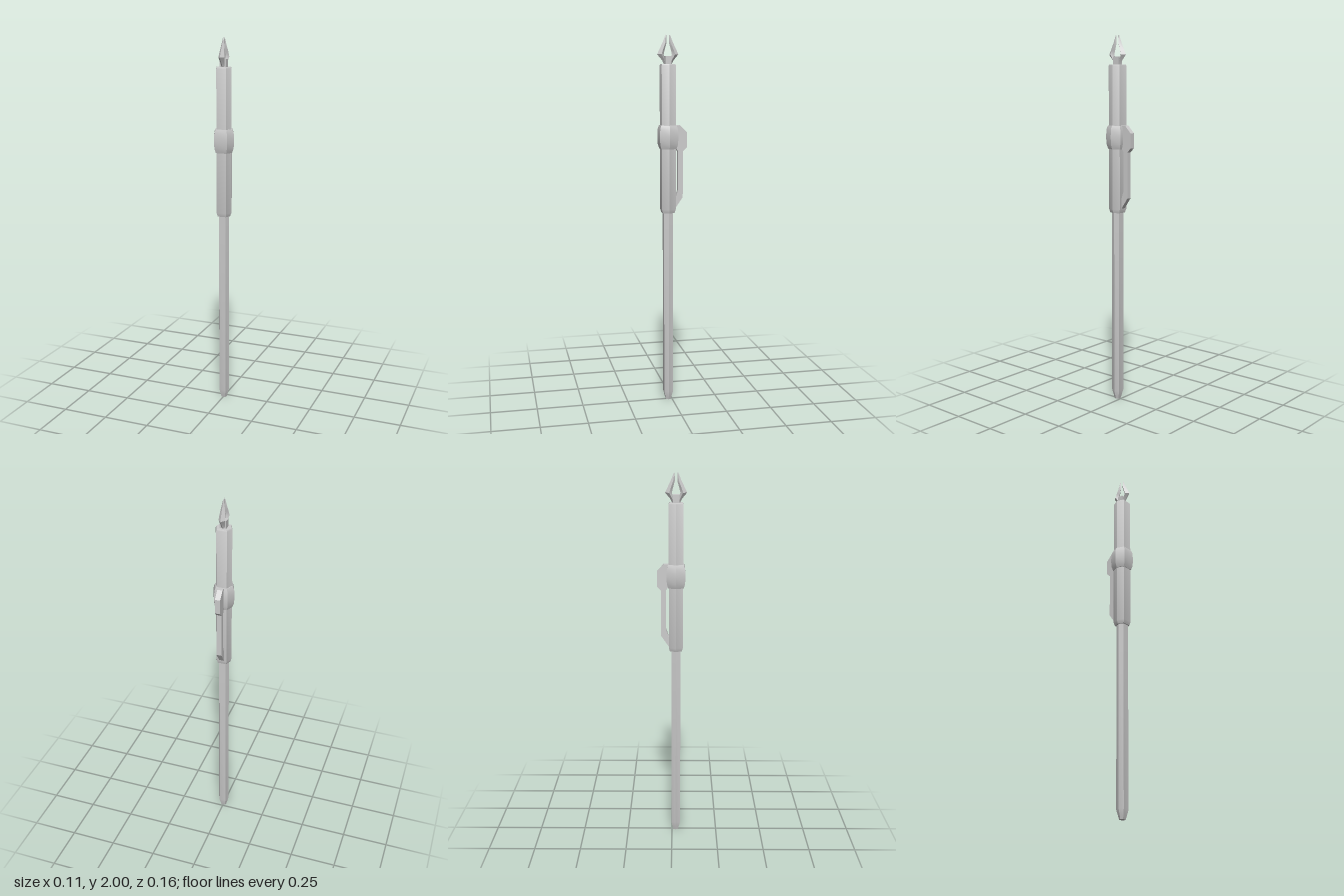
import * as THREE from 'three';
import { toCreasedNormals } from 'three/addons/utils/BufferGeometryUtils.js';

const CZ = 0.021; // the pen axis sits slightly forward because of the clip
const material = new THREE.MeshStandardMaterial({ color: 0xcccccc });

// Closed loft through sections { y, pts: [[x, z], ...] }, points turning from +x to +z.
function loft(sections, crease) {
  const n = sections[0].pts.length;
  const pos = [], idx = [];
  for (const { y, pts } of sections) for (const [x, z] of pts) pos.push(x, y, z);
  for (let s = 0; s < sections.length - 1; s++) {
    for (let i = 0; i < n; i++) {
      const a = s * n + i, b = s * n + (i + 1) % n;
      idx.push(a, a + n, b + n, a, b + n, b);
    }
  }
  const top = (sections.length - 1) * n;
  for (let i = 1; i < n - 1; i++) idx.push(0, i, i + 1, top, top + i + 1, top + i);
  const g = new THREE.BufferGeometry();
  g.setAttribute('position', new THREE.Float32BufferAttribute(pos, 3));
  g.setIndex(idx);
  return toCreasedNormals(g, crease);
}

// Flattened hexagon: points on +-x, flats facing +-z.
function hex(y, rx, rz) {
  const c = rx * 0.64;
  return { y, pts: [[rx, 0], [c, rz], [-c, rz], [-rx, 0], [-c, -rz], [-c, -rz]].map(([x, z], i) => [i === 5 ? c : x, z + CZ]) };
}

export function createModel() {
  const group = new THREE.Group();
  const add = (name, geometry) => {
    const mesh = new THREE.Mesh(geometry, material);
    mesh.name = name;
    group.add(mesh);
  };
  const addHex = (name, rows) => add(name, loft(rows.map((r) => hex(...r)), 0.7));

  // Long lower shaft with a tapered end
  addHex('shaft', [[0, 0.016, 0.013], [0.012, 0.019, 0.016], [0.05, 0.029, 0.025], [1.07, 0.029, 0.025]]);

  // Thicker grip with bevelled ends
  addHex('grip', [[1.06, 0.036, 0.032], [1.08, 0.043, 0.038], [1.843, 0.043, 0.038], [1.85, 0.04, 0.035]]);

  // Collar holding the clip
  addHex('collar', [[1.405, 0.046, 0.041], [1.43, 0.055, 0.048], [1.47, 0.057, 0.05],
    [1.51, 0.055, 0.048], [1.53, 0.047, 0.042]]);

  // Clip: side profile as [distance behind, height]
  const profile = [[0, 1.08], [0.018, 1.085], [0.058, 1.143], [0.058, 1.39], [0.08, 1.412], [0.08, 1.492],
    [0.043, 1.53], [0, 1.53], [0, 1.41], [0.02, 1.41], [0.032, 1.39], [0.032, 1.18], [0.018, 1.14], [0, 1.14]];
  const clip = new THREE.ExtrudeGeometry(new THREE.Shape(profile.map((p) => new THREE.Vector2(...p))),
    { depth: 0.028, bevelEnabled: false });
  clip.translate(0, 0, -0.014).rotateY(Math.PI / 2);
  add('clip', clip);

  // Mount between the prongs
  const mount = new THREE.BoxGeometry(0.034, 0.045, 0.034);
  mount.translate(0, 1.868, CZ);
  add('prongMount', mount);

  // Two diamond-section prongs: height, inner edge, outer edge, half width
  const rows = [[1.85, 0.008, 0.022, 0.009], [1.868, 0.012, 0.03, 0.011], [1.9, 0.022, 0.057, 0.016],
    [1.925, 0.016, 0.045, 0.014], [1.96, 0.006, 0.028, 0.009], [2, 0.008, 0.012, 0.001]];
  for (const [name, turn] of [['frontProng', 0], ['backProng', Math.PI]]) {
    const prong = loft(rows.map(([y, inner, outer, w]) => {
      const mid = inner * 0.6 + outer * 0.4;
      return { y, pts: [[w, mid], [0, outer], [-w, mid], [0, inner]] };
    }), 0.6);
    prong.rotateY(turn).translate(0, 0, CZ);
    add(name, prong);
  }
  return group;
}
